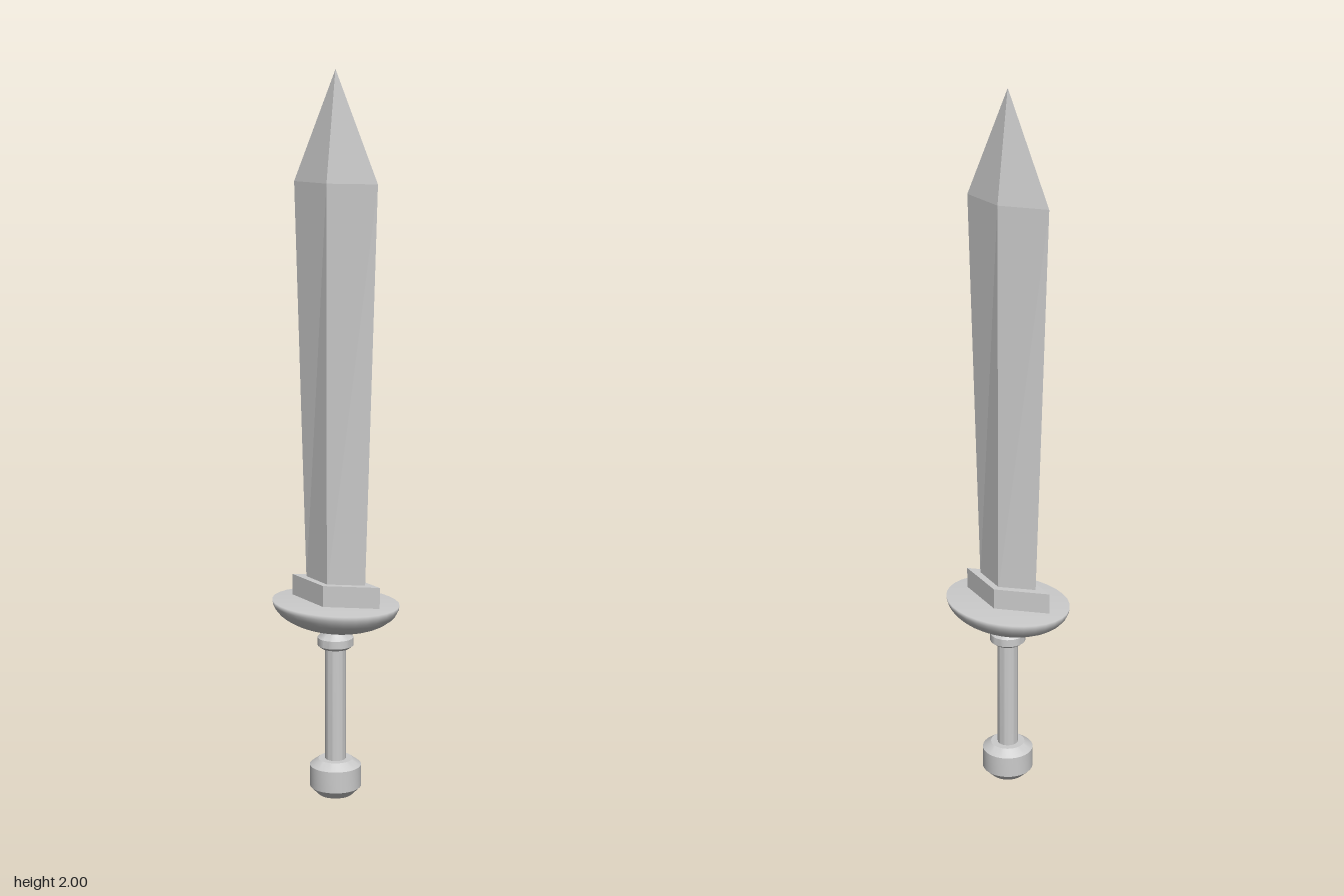
import * as THREE from 'three';
import { toCreasedNormals } from 'three/addons/utils/BufferGeometryUtils.js';

const smooth = new THREE.MeshStandardMaterial({ color: 0xcccccc });
const flat = new THREE.MeshStandardMaterial({ color: 0xcccccc, flatShading: true });

// Loft through diamond cross-sections [y, halfWidth, halfDepth], closed at both ends
function diamondLoft(sections) {
  const pos = [], index = [];
  for (const [y, w, d] of sections) pos.push(w, y, 0, 0, y, -d, -w, y, 0, 0, y, d);
  for (let s = 0; s < sections.length - 1; s++) {
    for (let i = 0; i < 4; i++) {
      const a = s * 4 + i, b = s * 4 + (i + 1) % 4;
      index.push(a, b, b + 4, a, b + 4, a + 4);
    }
  }
  const t = (sections.length - 1) * 4;
  index.push(0, 2, 1, 0, 3, 2, t, t + 1, t + 2, t, t + 2, t + 3);
  const geo = new THREE.BufferGeometry();
  geo.setAttribute('position', new THREE.Float32BufferAttribute(pos, 3));
  geo.setIndex(index);
  const out = geo.toNonIndexed();
  out.computeVertexNormals();
  return out;
}

// Turned part from [radius, y] points, bottom to top
const lathe = (points) =>
  new THREE.LatheGeometry(points.map(([r, y]) => new THREE.Vector2(r, y)), 32);

export function createModel() {
  const model = new THREE.Group();
  model.name = 'sword';
  const add = (name, geometry, material) => {
    const mesh = new THREE.Mesh(geometry, material);
    mesh.name = name;
    model.add(mesh);
    return mesh;
  };

  // Blade: widens towards the shoulders, then runs to a point
  add('blade', diamondLoft([[0.6, 0.095, 0.045], [1.705, 0.131, 0.045], [2, 0.0005, 0.0005]]), flat);
  add('bladeSocket', diamondLoft([[0.55, 0.142, 0.065], [0.615, 0.142, 0.065]]), flat);

  // Guard: oval bowl with a closed, softly shaded top
  const bowl = [];
  for (let i = 0; i <= 10; i++) {
    const a = (i / 10) * Math.PI / 2;
    bowl.push([0.186 * Math.sin(a), 0.556 - 0.083 * Math.cos(a)]);
  }
  bowl.push([0, 0.556]);
  add('guard', lathe(bowl), smooth).scale.z = 0.79;

  // Handle parts with chamfered edges
  const turned = {
    collar: [[0, 0.425], [0.04, 0.425], [0.05, 0.433], [0.05, 0.455], [0.036, 0.468], [0.03, 0.482], [0, 0.482]],
    grip: [[0, 0.09], [0.029, 0.09], [0.029, 0.43], [0, 0.43]],
    pommel: [[0, 0], [0.048, 0], [0.072, 0.024], [0.072, 0.085], [0.048, 0.103], [0, 0.103]],
  };
  for (const [name, points] of Object.entries(turned)) {
    add(name, toCreasedNormals(lathe(points), Math.PI / 7), smooth);
  }
  return model;
}
